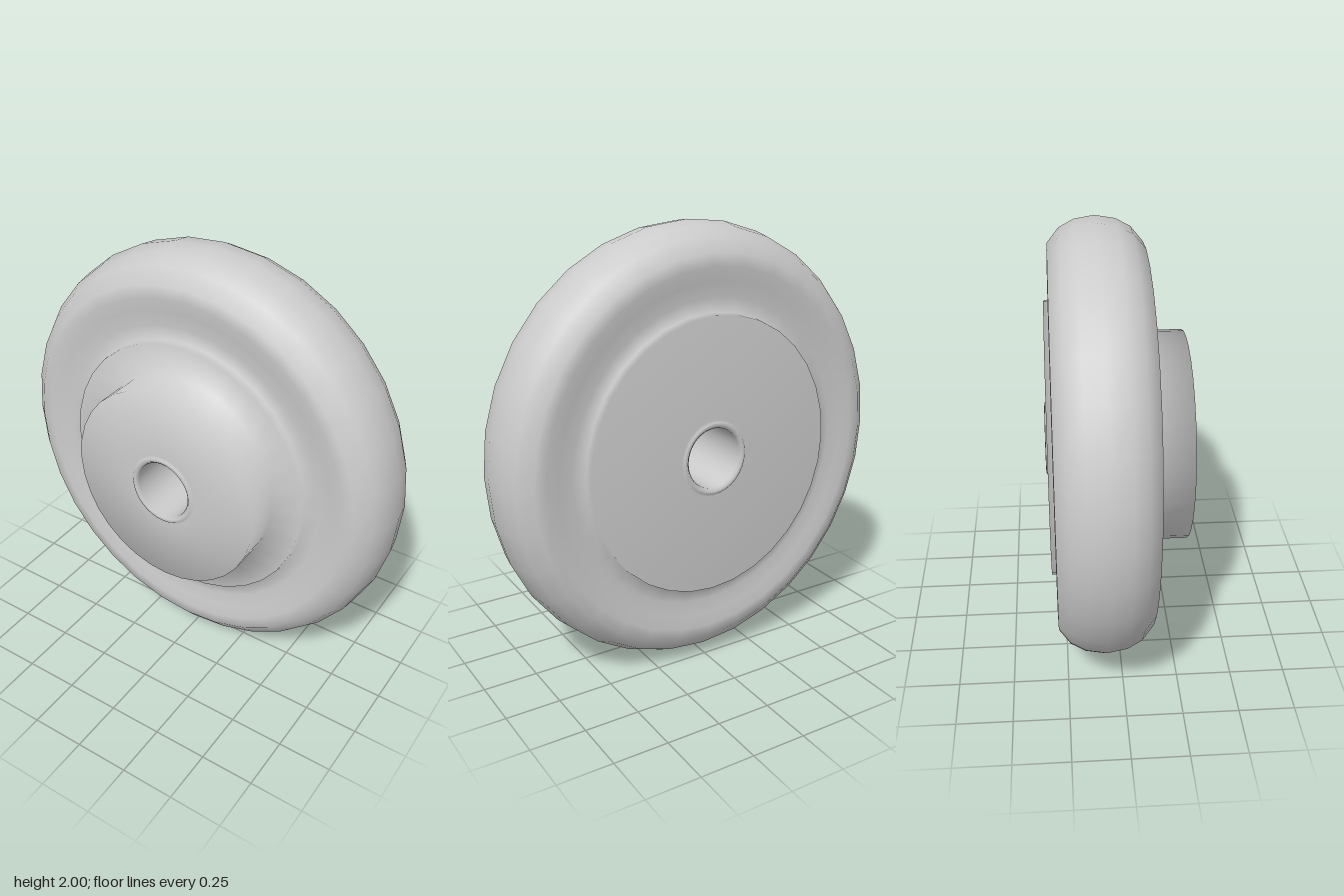
import * as THREE from 'three';

// Sections are [radius, z] pairs, listed counter-clockwise around the solid.
const boreBack = [[0.136, -0.08], [0.138, -0.31], [0.15, -0.322], [0.165, -0.32], [0.175, -0.31]];

// Back plate, then the shallow dished ring
const backFace = [[0.63, -0.31], [0.635, -0.272], [0.7, -0.27], [0.77, -0.278], [0.83, -0.289]];

// Rounded tread
const tread = [
  [0.885, -0.287], [0.95, -0.235], [0.985, -0.17], [1, -0.08],
  [0.985, 0.01], [0.95, 0.075], [0.885, 0.129],
];

// Dished ring, front plate and raised boss
const frontFace = [
  [0.83, 0.132], [0.77, 0.12], [0.7, 0.112], [0.635, 0.114], [0.63, 0.15],
  [0.485, 0.15], [0.485, 0.31],
];

const boreFront = [[0.175, 0.31], [0.165, 0.32], [0.15, 0.322], [0.138, 0.31], [0.136, -0.08]];

export function createModel() {
  const section = [...boreBack, ...backFace, ...tread, ...frontFace, ...boreFront];

  // One turned body, spun about z and slightly narrower than tall
  const geometry = new THREE.LatheGeometry(section.map(([r, z]) => new THREE.Vector2(r, z)), 32);
  geometry.rotateX(Math.PI / 2);
  geometry.scale(0.945, 1, 1);

  const wheel = new THREE.Mesh(geometry, new THREE.MeshStandardMaterial({ color: 0xcccccc }));
  wheel.name = 'wheel';
  wheel.position.y = 1;

  const model = new THREE.Group();
  model.name = 'wheelModel';
  model.add(wheel);
  return model;
}
